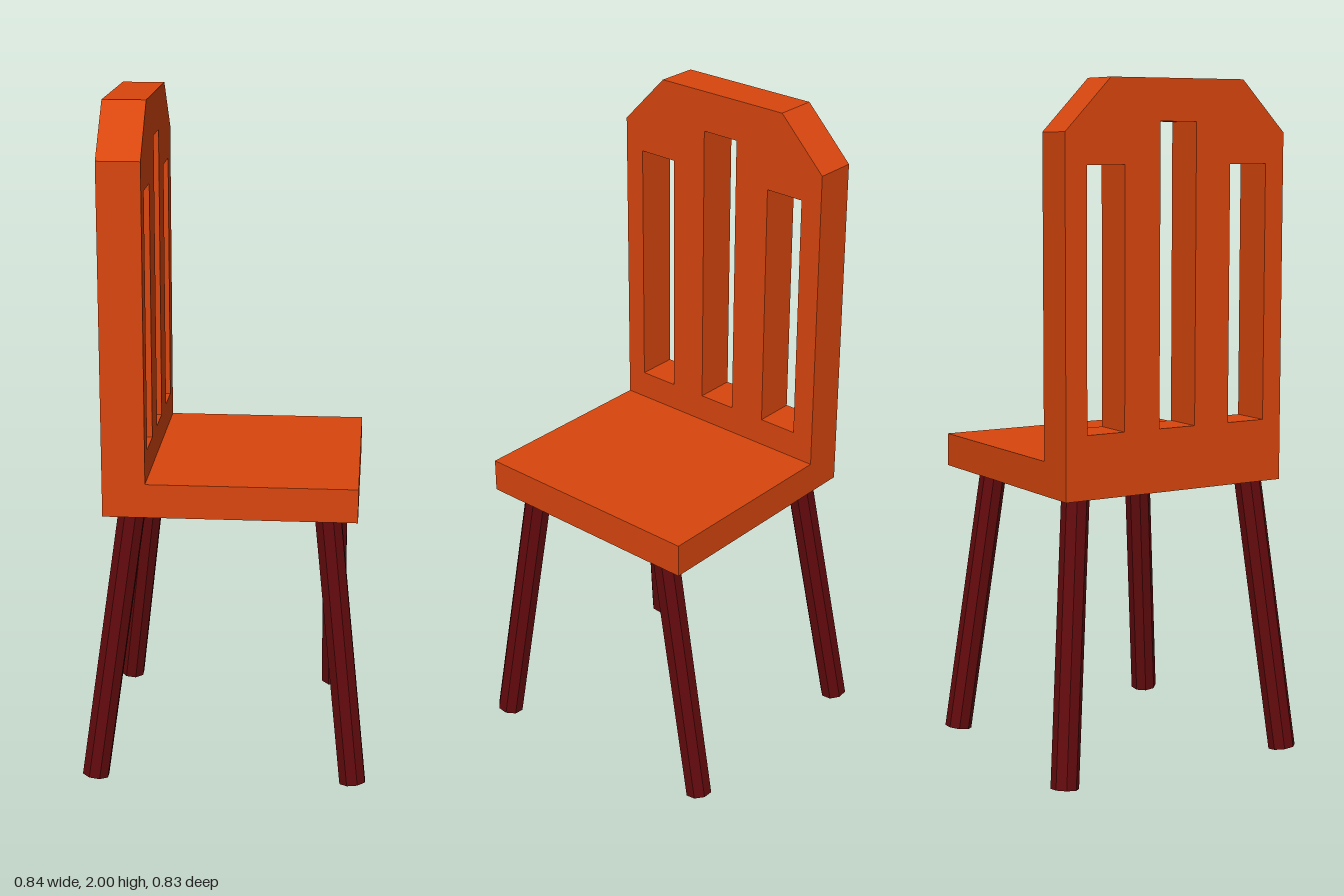
import * as THREE from 'three';

export function createModel() {
  const chair = new THREE.Group();
  chair.name = 'chair';
  const orange = new THREE.MeshStandardMaterial({ color: 0xd8460e });
  orange.name = 'orange wood';
  const maroon = new THREE.MeshStandardMaterial({ color: 0x620a0d, flatShading: true });
  maroon.name = 'dark red wood';

  const add = (name, geometry, material) => {
    const mesh = new THREE.Mesh(geometry, material);
    mesh.name = name;
    chair.add(mesh);
    return mesh;
  };

  const back = -0.35, backFront = -0.225, front = 0.385;
  const zMin = -0.357, zMax = 0.378, bottom = 0.825, seatTop = 0.925;

  // Seat slab, butting against the backrest
  const seat = add('seat', new THREE.BoxGeometry(front - backFront, seatTop - bottom, zMax - zMin), orange);
  seat.position.set((front + backFront) / 2, (seatTop + bottom) / 2, (zMax + zMin) / 2);

  // Backrest with clipped top corners and three slots; shape x runs along -z
  const outline = [[-zMax, bottom], [-zMin, bottom], [-zMin, 1.85], [0.21, 2], [-0.233, 2], [-zMax, 1.85]];
  const shape = new THREE.Shape(outline.map(([x, y]) => new THREE.Vector2(x, y)));
  for (const [x0, x1, top] of [[-0.315, -0.19, 1.76], [-0.073, 0.048, 1.88], [0.165, 0.288, 1.76]]) {
    shape.holes.push(new THREE.Path([
      new THREE.Vector2(x0, 1.01), new THREE.Vector2(x0, top),
      new THREE.Vector2(x1, top), new THREE.Vector2(x1, 1.01),
    ]));
  }
  const backrest = new THREE.ExtrudeGeometry(shape, { depth: backFront - back, bevelEnabled: false });
  backrest.rotateY(Math.PI / 2).translate(back, 0, 0);
  add('backrest', backrest, orange);

  // Splayed octagonal legs: foot x, z then top x, z
  const up = new THREE.Vector3(0, 1, 0);
  const legs = {
    frontLeftLeg: [0.383, 0.366, 0.295, 0.28],
    frontRightLeg: [0.306, -0.372, 0.306, -0.235],
    backLeftLeg: [-0.385, 0.375, -0.27, 0.317],
    backRightLeg: [-0.373, -0.378, -0.27, -0.28],
  };
  for (const [name, [fx, fz, tx, tz]] of Object.entries(legs)) {
    const foot = new THREE.Vector3(fx, 0.006, fz);
    const axis = new THREE.Vector3(tx, 0.835, tz).sub(foot);
    const length = axis.length();
    const geometry = new THREE.CylinderGeometry(0.041, 0.041, length, 8);
    geometry.rotateY(Math.PI / 8).translate(0, length / 2, 0);
    const leg = add(name, geometry, maroon);
    leg.position.copy(foot);
    leg.quaternion.setFromUnitVectors(up, axis.normalize());
  }
  return chair;
}
